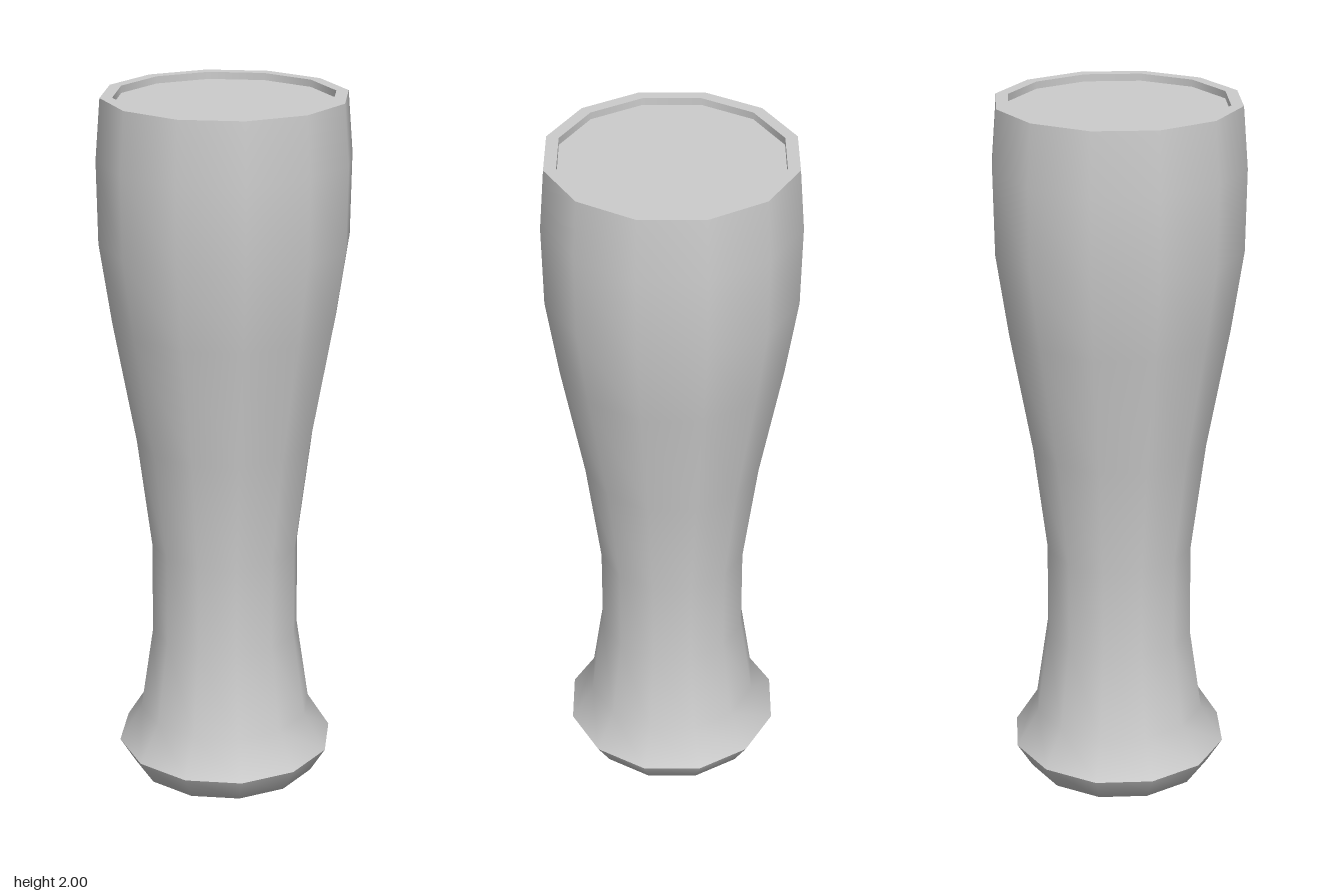
import * as THREE from 'three';

const SIDES = 12;

export function createModel() {
  const group = new THREE.Group();
  group.name = 'tallGlass';
  const grey = new THREE.MeshStandardMaterial({ color: 0xcccccc });
  grey.name = 'light grey';

  // Each profile is revolved separately so the joins between them stay sharp
  const addLathe = (name, profile) => {
    const points = profile.map(([r, y]) => new THREE.Vector2(r, y));
    const mesh = new THREE.Mesh(new THREE.LatheGeometry(points, SIDES), grey);
    mesh.name = name;
    group.add(mesh);
  };

  // Underside and bevelled foot
  addLathe('foot', [[0, 0], [0.27, 0], [0.315, 0.075]]);

  // Waisted outer wall
  addLathe('body', [
    [0.315, 0.075], [0.25, 0.18], [0.213, 0.43], [0.212, 0.7], [0.252, 1.02],
    [0.315, 1.37], [0.349, 1.6], [0.352, 1.83], [0.338, 2],
  ]);

  // Flat lip, short inner wall and the sunken filling
  addLathe('rim', [[0.338, 2], [0.304, 2]]);
  addLathe('innerWall', [[0.304, 2], [0.304, 1.98]]);
  addLathe('filling', [[0.304, 1.98], [0, 1.98]]);

  return group;
}
